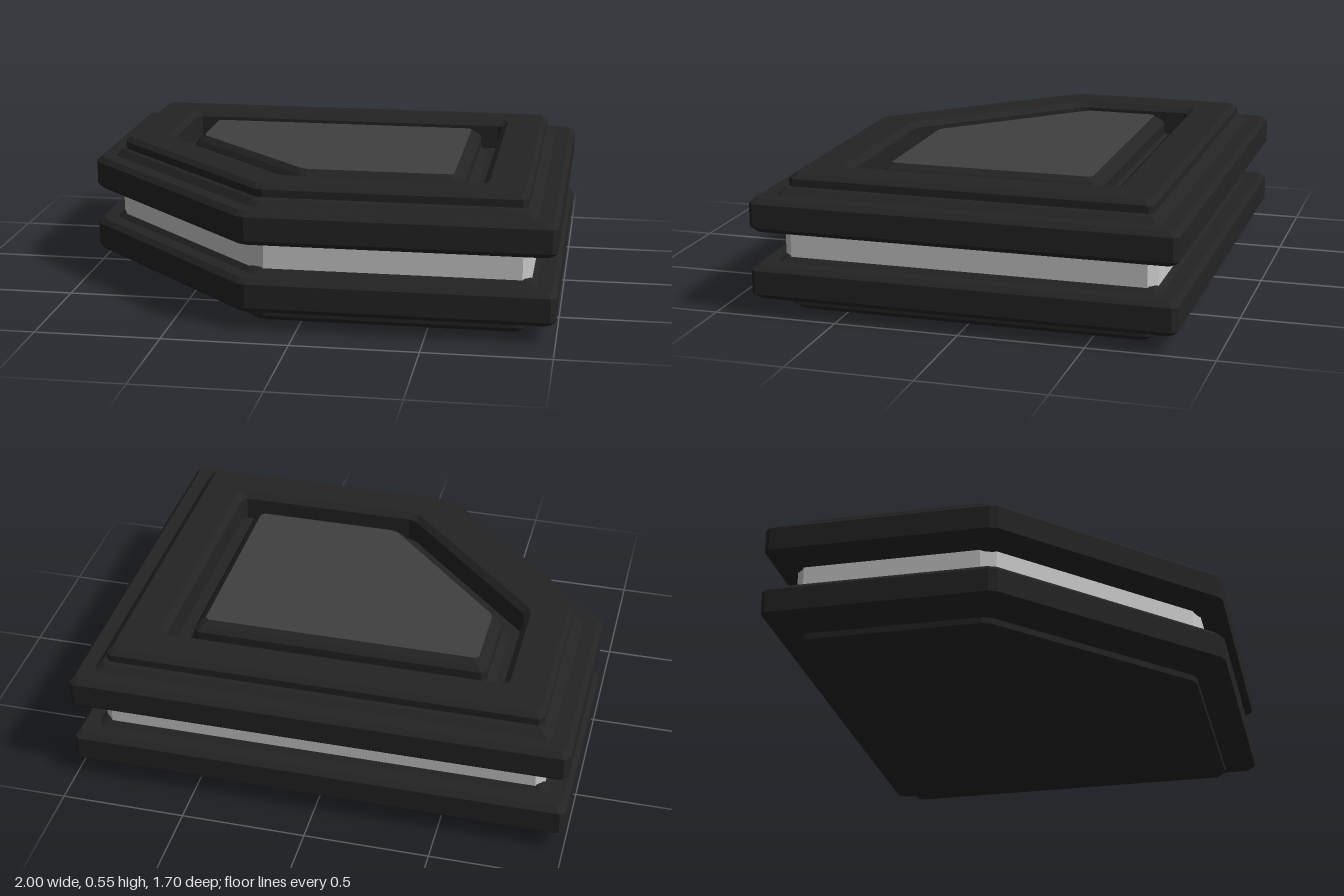
import * as THREE from 'three';

const DARK = 0x242424, PANEL = 0x404040, GREY = 0xcccccc;

// Five-sided plan, inset by d, with each corner clipped by c
function outline(d, c) {
  const x = 1 - d, z = 0.85 - d, k = 1.07 - d * Math.SQRT2;
  const corners = [[-x, -z], [x, -z], [x, z], [z - k, z], [-x, k - x]]
    .map(([px, pz]) => new THREE.Vector2(px, pz));
  const ring = [];
  corners.forEach((p, i) => {
    for (const q of [corners[(i + 4) % 5], corners[(i + 1) % 5]]) {
      ring.push(p.clone().add(q.clone().sub(p).setLength(c)));
    }
  });
  return ring;
}

// Sweep a profile of [inset, y] pairs round the plan, closing either end if asked
function loft(name, profile, color, { clip = 0.02, capStart = false, capEnd = false } = {}) {
  const rings = profile.map(([d, y]) =>
    outline(d, clip).map((p) => [p.x, y, p.y]));
  const verts = [];
  const tri = (...pts) => pts.forEach((p) => verts.push(...p));
  const n = rings[0].length;
  for (let r = 0; r < rings.length - 1; r++) {
    const lo = rings[r], hi = rings[r + 1];
    for (let i = 0; i < n; i++) {
      const j = (i + 1) % n;
      tri(lo[i], hi[i], lo[j]);
      tri(lo[j], hi[i], hi[j]);
    }
  }
  const first = rings[0], last = rings[rings.length - 1];
  for (let i = 1; i < n - 1; i++) {
    if (capStart) tri(first[0], first[i], first[i + 1]);
    if (capEnd) tri(last[0], last[i + 1], last[i]);
  }
  const geometry = new THREE.BufferGeometry();
  geometry.setAttribute('position', new THREE.Float32BufferAttribute(verts, 3));
  geometry.computeVertexNormals();
  const mesh = new THREE.Mesh(geometry,
    new THREE.MeshStandardMaterial({ color, flatShading: true }));
  mesh.name = name;
  return mesh;
}

export function createModel() {
  const model = new THREE.Group();
  model.name = 'steppedPlatform';

  // Base slab with a stepped foot and bevelled rim
  model.add(loft('baseSlab', [
    [0.145, 0], [0.125, 0.02], [0.125, 0.045], [0.1, 0.07], [0.02, 0.07],
    [0, 0.09], [0, 0.185], [0.02, 0.205], [0.08, 0.205], [0.105, 0.228],
  ], DARK, { capStart: true, capEnd: true }));

  // Pale band between the two slabs
  model.add(loft('middleBand', [[0.1, 0.22], [0.1, 0.325]], GREY, { clip: 0.035 }));

  // Upper slab, stepped at the rim, with a recess round the panel
  model.add(loft('upperFrame', [
    [0.105, 0.317], [0.08, 0.34], [0.02, 0.34], [0, 0.36], [0, 0.455],
    [0.02, 0.475], [0.08, 0.475], [0.105, 0.5], [0.12, 0.505], [0.12, 0.535],
    [0.14, 0.553], [0.285, 0.553], [0.31, 0.53], [0.31, 0.43], [0.42, 0.43],
  ], DARK, { capStart: true }));

  // Raised panel: dark bevelled surround and lighter top face
  model.add(loft('panelSurround', [
    [0.365, 0.43], [0.395, 0.46], [0.395, 0.505], [0.41, 0.525], [0.435, 0.545],
  ], DARK));
  model.add(loft('panelTop', [[0.435, 0.545]], PANEL, { clip: 0.015, capEnd: true }));

  return model;
}
